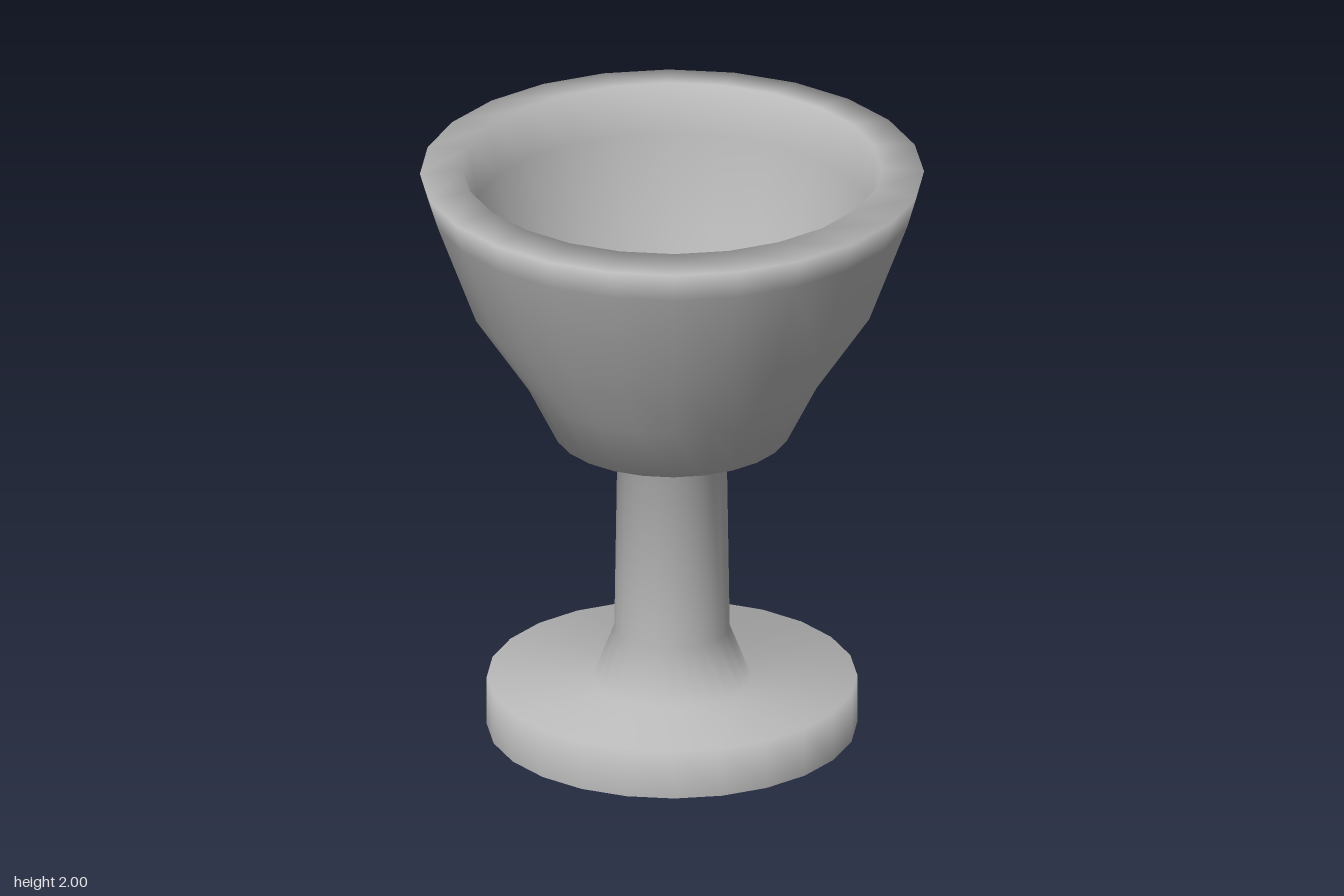
import * as THREE from 'three';

export function createModel() {
  const model = new THREE.Group();
  model.name = 'goblet';

  const grey = new THREE.MeshStandardMaterial({ color: 0xb8b8b8, side: THREE.DoubleSide });
  grey.name = 'plain grey';

  // One continuous turned shell, open below: [radius, height]
  const profile = [
    // hollow foot
    [0.61, 0], [0.61, 0.17],
    // flared stem
    [0.26, 0.17], [0.19, 0.35], [0.18, 1.0],
    // outside of the bowl
    [0.39, 1.06], [0.49, 1.26], [0.67, 1.53], [0.8, 1.88], [0.83, 1.985],
    // rim
    [0.69, 2.0],
    // inside of the bowl, down to the open stem
    [0.66, 1.83], [0.57, 1.53], [0.43, 1.26], [0.36, 1.09], [0.18, 1.0],
  ].map(([r, y]) => new THREE.Vector2(r, y));

  const shell = new THREE.Mesh(new THREE.LatheGeometry(profile, 24), grey);
  shell.name = 'footStemAndBowl';
  model.add(shell);

  return model;
}
